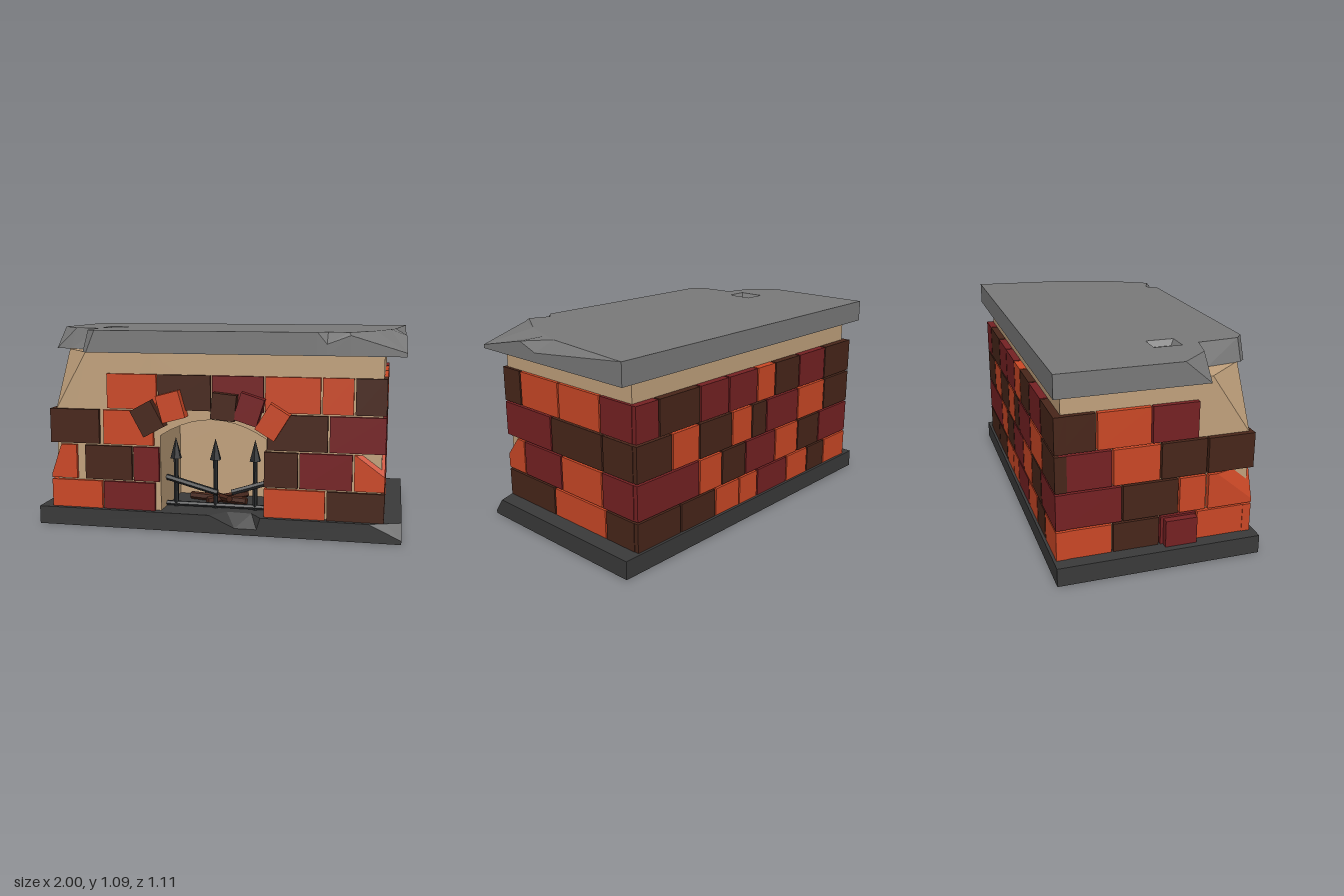
import * as THREE from 'three';
import { ConvexGeometry } from 'three/addons/geometries/ConvexGeometry.js';

const COLORS = { O: 0xcc4826, M: 0x762123, B: 0x48261a, tan: 0xc2a27d, stone: 0x7a7a7a, base: 0x3a3a3a, iron: 0x26282a };
const mats = {};
for (const k in COLORS) mats[k] = new THREE.MeshStandardMaterial({ color: COLORS[k], flatShading: true });

function add(parent, name, geo, mat) {
  const m = new THREE.Mesh(geo, mats[mat]);
  m.name = name;
  parent.add(m);
  return m;
}

// Box given by its low and high corners
function block(parent, name, mat, lo, hi) {
  const s = hi.map((v, i) => v - lo[i]);
  const m = add(parent, name, new THREE.BoxGeometry(...s), mat);
  m.position.set(...hi.map((v, i) => (v + lo[i]) / 2));
  return m;
}

// Box with one corner (side signs) broken off at the given distances
function chipped(parent, name, mat, lo, hi, corner, cut) {
  const pts = [];
  for (const sx of [-1, 1]) for (const sy of [-1, 1]) for (const sz of [-1, 1]) {
    const s = [sx, sy, sz];
    const p = s.map((v, i) => (v > 0 ? hi[i] : lo[i]));
    if (s.every((v, i) => v === corner[i])) {
      cut.forEach((d, i) => {
        const q = [...p];
        q[i] -= s[i] * d;
        pts.push(new THREE.Vector3(...q));
      });
    } else pts.push(new THREE.Vector3(...p));
  }
  return add(parent, name, new ConvexGeometry(pts), mat);
}

// Stone slab lofted through bottom, rim and top loops.
// Each point: [x, z, { y: rim height, i: top-face point, b: bottom point }], anticlockwise from above
function slabGeometry(y0, y1, pts, hole) {
  const pos = [];
  const tri = (a, b, c) => pos.push(...a, ...b, ...c);
  const wall = (lo, hi) => lo.forEach((a, i) => {
    const j = (i + 1) % lo.length;
    tri(a, lo[j], hi[j]);
    tri(a, hi[j], hi[i]);
  });
  const flat = (l) => l.map((p) => new THREE.Vector2(p[0], -p[2]));
  const cap = (loop, holes, up) => {
    const all = [loop, ...holes].flat();
    for (const [a, b, c] of THREE.ShapeUtils.triangulateShape(flat(loop), holes.map(flat)))
      up ? tri(all[a], all[b], all[c]) : tri(all[a], all[c], all[b]);
  };
  const bottom = pts.map(([x, z, o = {}]) => [(o.b ?? [x, z])[0], y0, (o.b ?? [x, z])[1]]);
  const rim = pts.map(([x, z, o = {}]) => [x, o.y ?? y1, z]);
  const top = pts.map(([x, z, o = {}]) => [(o.i ?? [x, z])[0], y1, (o.i ?? [x, z])[1]]);
  wall(bottom, rim);
  wall(rim, top);
  cap(bottom, [], false);
  if (hole) {
    // shallow pit, clockwise from above
    const [x0, x1, z0, z1, d] = hole;
    const ring = (e, y) => [[x0 + e, y, z0 + e], [x1 - e, y, z0 + e], [x1 - e, y, z1 - e], [x0 + e, y, z1 - e]];
    const mouth = ring(0, y1), floor = ring(0.02, y1 - d);
    wall(floor, mouth);
    cap([...floor].reverse(), [], true);
    cap(top, [mouth], true);
  } else cap(top, [], true);
  const g = new THREE.BufferGeometry();
  g.setAttribute('position', new THREE.Float32BufferAttribute(pos, 3));
  g.computeVertexNormals();
  return g;
}

// Brick courses: letters are colours, '-' leaves a gap
const ROW_Y = [[0.1, 0.255], [0.265, 0.455], [0.465, 0.655], [0.665, 0.855]];
const WALLS = {
  front: { axis: 0, lo: 0.46, hi: 0.505, rows: [
    ['OM-OB', [-0.93, -0.63, -0.325, 0.27, 0.605, 0.905]],
    ['-BM-BM-', [-0.93, -0.735, -0.455, -0.3, 0.27, 0.46, 0.745, 0.905]],
    ['-O-BM', [-0.93, -0.625, -0.33, 0.285, 0.615, 0.905]],
    ['-OBMOOB', [-0.93, -0.6, -0.31, -0.01, 0.275, 0.575, 0.745, 0.905]]] },
  back: { axis: 0, lo: -0.54, hi: -0.48, rows: [
    ['OBOMOOBB', [-0.93, -0.7, -0.52, -0.31, -0.03, 0.13, 0.33, 0.6, 0.905]],
    ['MBOMBOM', [-0.93, -0.63, -0.41, -0.19, 0.08, 0.28, 0.46, 0.905]],
    ['BOMBOBOB', [-0.93, -0.67, -0.4, -0.1, 0.03, 0.2, 0.46, 0.66, 0.905]],
    ['BMBOMMBM', [-0.93, -0.66, -0.4, -0.17, -0.01, 0.23, 0.455, 0.75, 0.905]]] },
  right: { axis: 2, lo: -0.927, hi: -0.87, rows: [
    ['OBMO', [-0.515, -0.25, 0, 0.2, 0.502]],
    ['MBO-', [-0.515, -0.2, 0.1, 0.25, 0.502]],
    ['MOB-', [-0.515, -0.25, 0, 0.25, 0.502]],
    ['BOM-', [-0.515, -0.33, -0.05, 0.2, 0.502]]] },
  left: { axis: 2, lo: 0.86, hi: 0.908, rows: [
    ['BOB', [-0.515, -0.31, 0.1, 0.502]],
    ['MOM-', [-0.515, -0.288, 0.032, 0.352, 0.502]],
    ['BBM', [-0.515, -0.298, 0.105, 0.502]],
    ['MOOB', [-0.515, -0.288, 0.032, 0.352, 0.502]]] },
};

function bar(parent, name, mat, a, b, r, sides = 6) {
  const A = new THREE.Vector3(...a), B = new THREE.Vector3(...b), d = B.clone().sub(A);
  const m = add(parent, name, new THREE.CylinderGeometry(r, r, d.length(), sides), mat);
  m.position.copy(A).add(B).multiplyScalar(0.5);
  m.quaternion.setFromUnitVectors(new THREE.Vector3(0, 1, 0), d.normalize());
}

export function createModel() {
  const model = new THREE.Group();
  model.name = 'fireplace';

  // Base slab with a chipped front edge and corner
  add(model, 'baseSlab', slabGeometry(0, 0.1, [
    [-1, -0.555], [-1, 0.53], [-0.02, 0.53],
    [0.12, 0.53, { y: 0.035, i: [0.06, 0.44] }], [0.24, 0.53, { y: 0.035, i: [0.2, 0.45] }], [0.26, 0.53],
    [0.83, 0.53], [1, 0.53, { y: 0.02, i: [0.915, 0.5] }], [1, 0.47], [1, -0.555]]), 'base');

  // Mantel slab with a broken corner, worn edges and a pit
  add(model, 'mantelSlab', slabGeometry(0.97, 1.09, [
    [-1, -0.555], [-1, 0.08, { b: [-1, 0.22] }], [-0.87, 0.23, { b: [-0.9, 0.25] }],
    [-0.72, 0.265, { b: [-0.76, 0.3] }], [-0.7, 0.49, { b: [-0.73, 0.5] }], [-0.65, 0.53, { b: [-0.7, 0.53] }],
    [0.55, 0.53], [0.6, 0.53, { y: 1.03, i: [0.6, 0.47] }], [0.72, 0.53, { y: 1.075, i: [0.71, 0.515] }],
    [1, 0.53, { y: 0.99, i: [0.84, 0.3] }], [1, 0.2, { y: 1.062, i: [0.91, 0.1] }],
    [1, 0.08, { y: 1.02, i: [0.94, 0] }], [1, -0.555]], [-0.74, -0.62, 0.02, 0.17, 0.03]), 'stone');

  // Plaster core: rear block, broken front corner, front with arched opening
  block(model, 'coreRear', 'tan', [-0.9, 0.1, -0.5], [0.89, 0.97, 0.08]);
  chipped(model, 'coreCorner', 'tan', [-0.9, 0.1, 0.08], [-0.35, 0.97, 0.485], [-1, 1, 1], [0.18, 0.32, 0.215]);
  const s = new THREE.Shape();
  s.moveTo(-0.35, 0.1).lineTo(-0.3, 0.1).lineTo(-0.3, 0.52);
  s.quadraticCurveTo(-0.01, 0.71, 0.285, 0.52);
  s.lineTo(0.285, 0.1).lineTo(0.89, 0.1).lineTo(0.89, 0.97).lineTo(-0.35, 0.97);
  const front = new THREE.ExtrudeGeometry(s, { depth: 0.405, bevelEnabled: false, curveSegments: 10 });
  add(model, 'coreFront', front.translate(0, 0, 0.08), 'tan');

  // Brick walls
  for (const [side, w] of Object.entries(WALLS)) {
    const wall = new THREE.Group();
    wall.name = side + 'Bricks';
    model.add(wall);
    w.rows.forEach(([letters, at], r) => [...letters].forEach((c, i) => {
      if (c === '-') return;
      const a = at[i] + (i ? 0.005 : 0), b = at[i + 1] - (i < letters.length - 1 ? 0.005 : 0);
      const [y0, y1] = ROW_Y[r];
      if (w.axis === 0) block(wall, 'brick', c, [a, y0, w.lo], [b, y1, w.hi]);
      else block(wall, 'brick', c, [w.lo, y0, a], [w.hi, y1, b]);
    }));
  }

  // Loose and damaged corner bricks
  chipped(model, 'chippedBrick', 'O', [0.75, 0.265, 0.357], [0.907, 0.455, 0.505], [1, 1, 1], [0.15, 0.11, 0.09]);
  chipped(model, 'chippedBrick', 'O', [-0.93, 0.265, 0.26], [-0.78, 0.455, 0.505], [-1, 1, 1], [0.06, 0.17, 0.2]);
  block(model, 'cornerBrick', 'B', [-0.93, 0.465, 0.255], [-0.645, 0.655, 0.505]);
  block(model, 'looseBrick', 'M', [-0.965, 0.1, 0.02], [-0.88, 0.245, 0.19]);

  // Arch bricks around the opening: x, y, width, height, tilt
  for (const [c, x, y, w, h, t] of [
    ['B', -0.355, 0.62, 0.13, 0.16, 0.5], ['O', -0.225, 0.688, 0.13, 0.15, 0.27],
    ['B', 0.065, 0.695, 0.13, 0.14, -0.1], ['M', 0.2, 0.685, 0.13, 0.15, -0.3], ['O', 0.325, 0.622, 0.12, 0.16, -0.55]]) {
    const m = add(model, 'archBrick', new THREE.BoxGeometry(w, h, 0.115), c);
    m.position.set(x, y, 0.4975);
    m.rotation.z = t;
  }

  // Iron grate: spikes, floor rail and broken cross rails
  const grate = new THREE.Group();
  grate.name = 'grate';
  model.add(grate);
  for (const x of [-0.245, -0.018, 0.205]) {
    bar(grate, 'spike', 'iron', [x, 0.1, 0.37], [x, 0.4, 0.37], 0.014);
    const tip = add(grate, 'spikeTip', new THREE.ConeGeometry(0.033, 0.12, 6), 'iron');
    tip.position.set(x, 0.435, 0.37);
  }
  bar(grate, 'floorRail', 'iron', [-0.3, 0.115, 0.37], [0.28, 0.115, 0.37], 0.014);
  bar(grate, 'brokenRail', 'iron', [-0.3, 0.265, 0.37], [0, 0.195, 0.4], 0.017);
  bar(grate, 'brokenRail', 'iron', [0.08, 0.2, 0.4], [0.285, 0.26, 0.37], 0.017);

  // Charred logs
  bar(model, 'log', 'B', [-0.2, 0.122, 0.2], [0.14, 0.122, 0.28], 0.022);
  bar(model, 'log', 'B', [-0.08, 0.122, 0.31], [0.12, 0.135, 0.15], 0.022);
  bar(model, 'log', 'B', [-0.12, 0.125, 0.14], [0.05, 0.14, 0.32], 0.02);

  return model;
}
